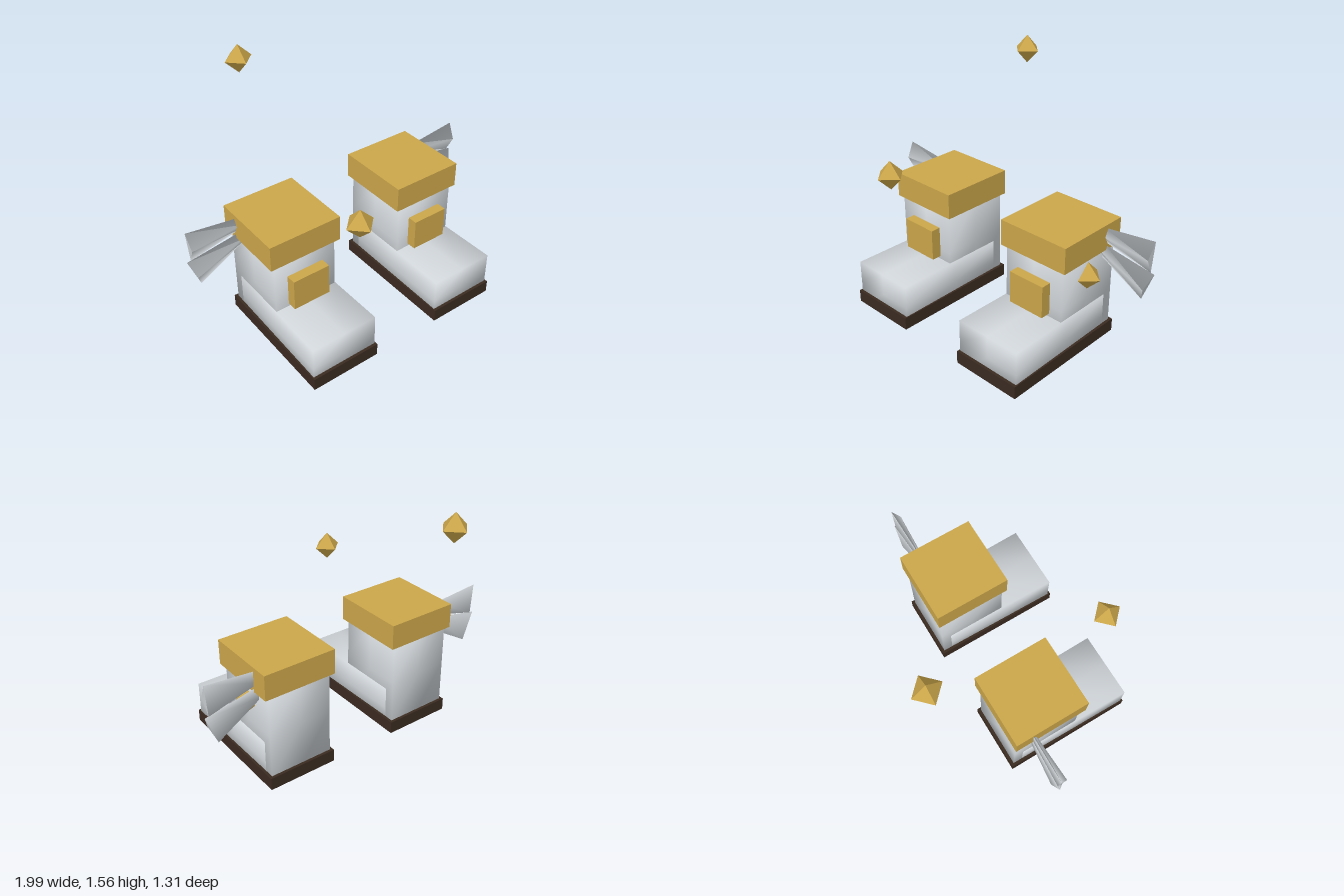
import * as THREE from 'three';
import { mergeVertices } from 'three/addons/utils/BufferGeometryUtils.js';

const gold = new THREE.MeshStandardMaterial({ name: 'gold', color: 0xcba64a });
const silver = new THREE.MeshStandardMaterial({ name: 'silver', color: 0xcfd4d8 });
const darkLeather = new THREE.MeshStandardMaterial({ name: 'dark leather', color: 0x3b2b21 });

function add(parent, name, geometry, material, x, y, z) {
  const mesh = new THREE.Mesh(geometry, material);
  mesh.name = name;
  mesh.position.set(x, y, z);
  parent.add(mesh);
  return mesh;
}

// Box with shared corners, so its shading is rounded
function softBox(w, h, d, bend) {
  let g = new THREE.BoxGeometry(w, h, d, 2, 2, 2);
  g.deleteAttribute('uv');
  g.deleteAttribute('normal');
  g = mergeVertices(g);
  if (bend) {
    const p = g.attributes.position;
    for (let i = 0; i < p.count; i++) bend(p, i);
  }
  g.computeVertexNormals();
  return g;
}

// Three-sided tapering feather, flat at the back
function feather(parent, name, side, x, y, angle) {
  const g = new THREE.CylinderGeometry(0.115, 0.047, 0.33, 3);
  g.scale(1, 1, 0.29);
  g.rotateZ(side * (angle - Math.PI / 2));
  add(parent, name, g, silver, side * x, y, -0.123);
}

function boot(side) {
  const group = new THREE.Group();
  group.name = side > 0 ? 'leftBoot' : 'rightBoot';
  const cx = side * 0.447;

  add(group, 'sole', new THREE.BoxGeometry(0.445, 0.08, 0.855), darkLeather, cx, 0.045, 0.1825);

  // The foot narrows at the heel and its base rises slightly from toe to heel
  const foot = softBox(0.43, 0.29, 0.815, (p, i) => {
    const t = 0.5 - p.getZ(i) / 0.815;
    if (p.getY(i) < -0.1) p.setY(i, -0.145 + 0.011 * t);
    p.setX(i, p.getX(i) * (1 - 0.05 * t));
  });
  add(group, 'foot', foot, silver, cx, 0.145, 0.185);

  add(group, 'shaft', softBox(0.41, 0.6, 0.448), silver, cx, 0.36, -0.003);
  add(group, 'cuff', new THREE.BoxGeometry(0.466, 0.16, 0.485), gold, cx, 0.7, -0.002);
  add(group, 'buckle', new THREE.BoxGeometry(0.24, 0.2, 0.085), gold, side * 0.447, 0.411, 0.2425);

  const wing = new THREE.Group();
  wing.name = 'wing';
  feather(wing, 'upperFeather', side, 0.81, 0.697, -0.07);
  feather(wing, 'lowerFeather', side, 0.803, 0.549, -0.36);
  group.add(wing);
  return group;
}

export function createModel() {
  const model = new THREE.Group();
  model.name = 'wingedBoots';
  for (const side of [1, -1]) model.add(boot(side));

  // Gems scattered around the boots
  const gem = new THREE.OctahedronGeometry(0.088);
  const spots = [[0.65, 0.496, 0], [-0.33, 0.985, 0.566], [-0.33, 1.473, -0.566]];
  for (const [x, y, z] of spots) add(model, 'gem', gem, gold, x, y, z);
  return model;
}
